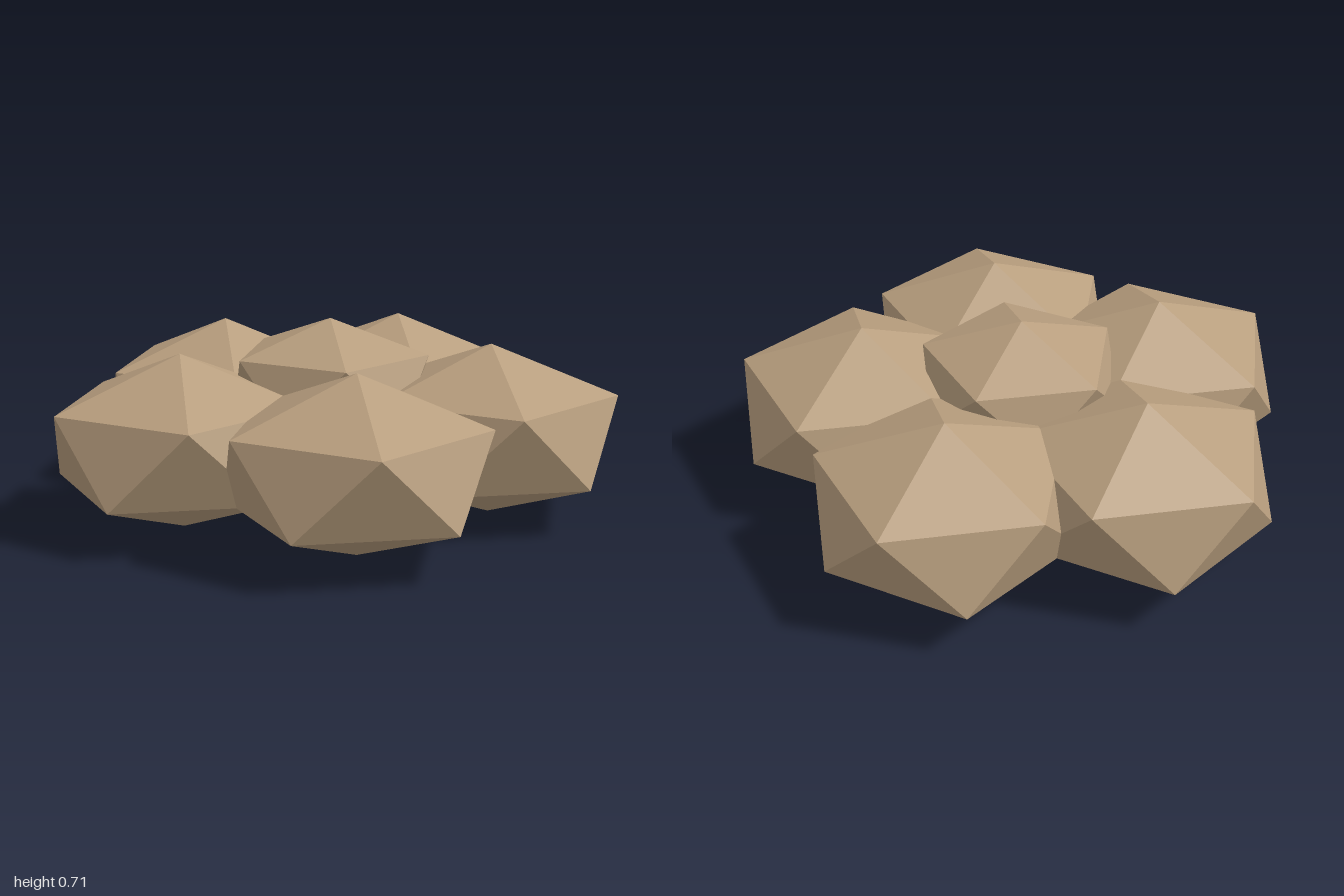
import * as THREE from 'three';

const tan = new THREE.MeshStandardMaterial({ color: 0xb89e7e, flatShading: true });
tan.name = 'tan';

// Flattened icosahedron standing on one corner, with an upper ring corner facing +x
function facetedLobe(name, radius, halfHeight, x, y, z) {
  const geometry = new THREE.IcosahedronGeometry(1, 0);
  geometry.rotateZ(-Math.atan(2 / (1 + Math.sqrt(5))));
  geometry.scale(radius, halfHeight, radius);
  geometry.computeVertexNormals();
  const mesh = new THREE.Mesh(geometry, tan);
  mesh.name = name;
  mesh.position.set(x, y, z);
  return mesh;
}

export function createModel() {
  const group = new THREE.Group();
  group.name = 'lobedCluster';
  const centreX = -0.056;
  const ringRadius = 0.591;

  // Five outer lobes around the middle
  for (let i = 0; i < 5; i++) {
    const a = (i * Math.PI * 2) / 5;
    group.add(facetedLobe(`outerLobe${i + 1}`, 0.515, 0.317,
      centreX + ringRadius * Math.cos(a), 0.32, ringRadius * Math.sin(a)));
  }

  // Smaller raised lobe in the middle
  group.add(facetedLobe('centreLobe', 0.407, 0.23, centreX, 0.485, 0));
  return group;
}
